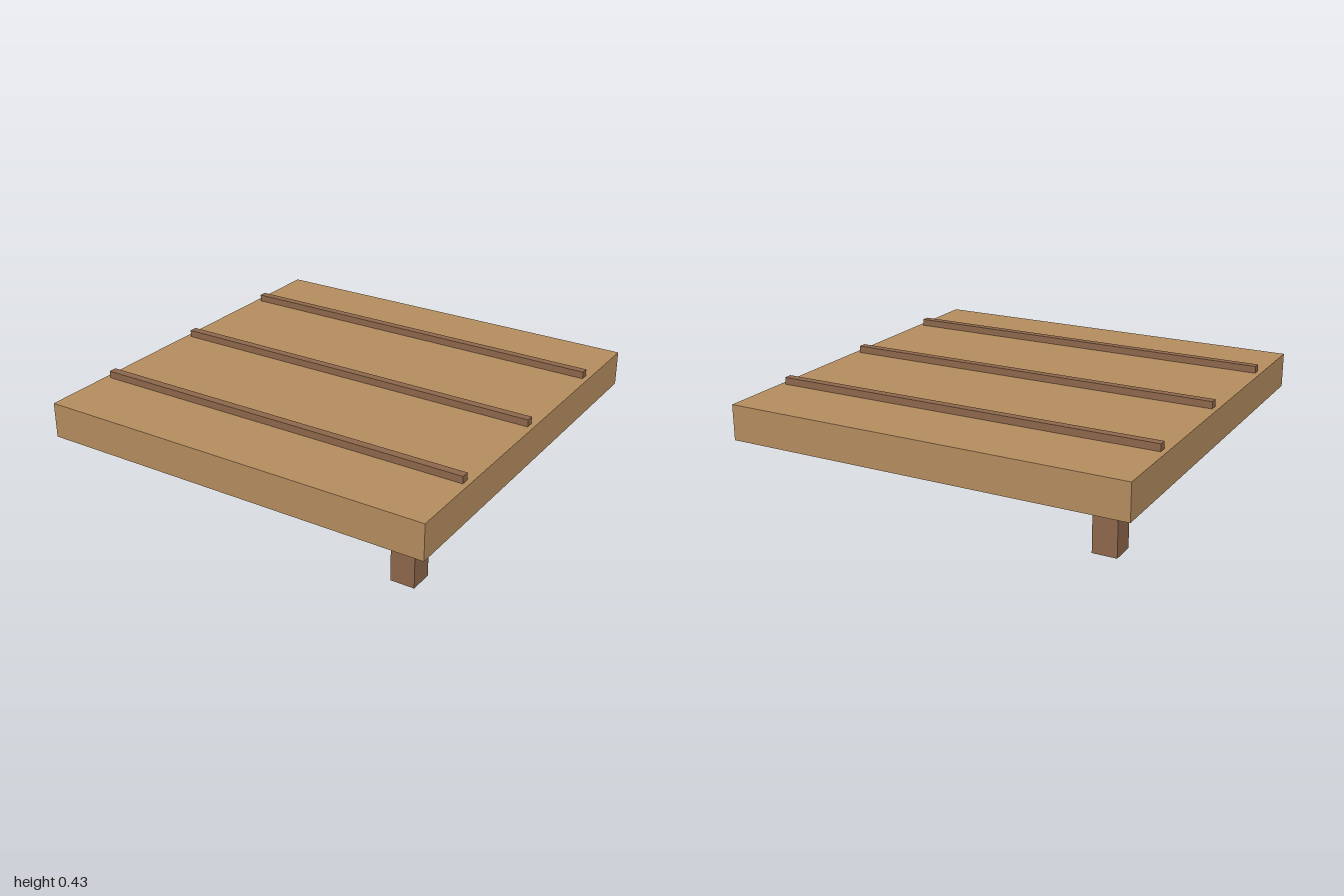
import * as THREE from 'three';

export function createModel() {
  const model = new THREE.Group();
  model.name = 'woodenPlatform';

  const lightWood = new THREE.MeshStandardMaterial({ name: 'lightWood', color: 0xb68e60 });
  const darkWood = new THREE.MeshStandardMaterial({ name: 'darkWood', color: 0x8e684b });

  // Adds a box standing on height y
  function addBox(name, material, [w, h, d], [x, y, z]) {
    const mesh = new THREE.Mesh(new THREE.BoxGeometry(w, h, d), material);
    mesh.name = name;
    mesh.position.set(x, y + h / 2, z);
    model.add(mesh);
  }

  const deckBottom = 0.215;
  const deckTop = 0.39;

  // Thick square deck
  addBox('deck', lightWood, [2, deckTop - deckBottom, 2], [0, deckBottom, 0]);

  // Three raised slats running across the deck
  ['backSlat', 'middleSlat', 'frontSlat'].forEach((name, i) => {
    addBox(name, darkWood, [1.95, 0.035, 0.04], [0, deckTop, (i - 1) * 0.62]);
  });

  // Two legs on diagonally opposite corners
  for (const [name, side] of [['frontLeg', 1], ['backLeg', -1]]) {
    addBox(name, darkWood, [0.115, deckBottom, 0.115], [side * 0.85, 0, side * 0.85]);
  }

  return model;
}
